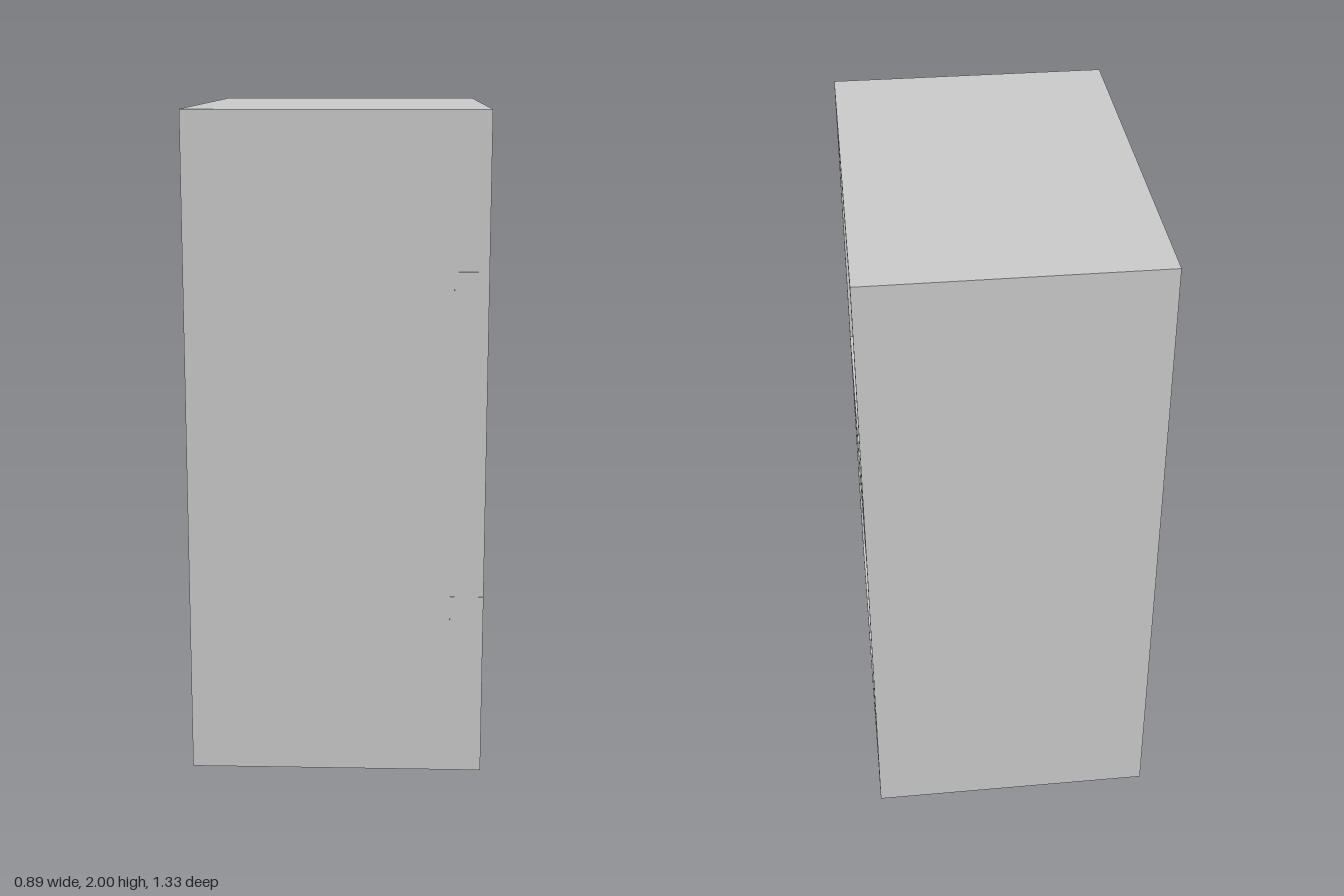
import * as THREE from 'three';

const W = 0.886, H = 2, D = 1.33;      // outer size
const WALL = 0.0625;                   // recess of the compartment backs
const CELL = { h: 0.9, d: 1.206, y: [0.512, 1.49] };

const material = new THREE.MeshStandardMaterial({ color: 0xcccccc, side: THREE.DoubleSide });

// Box of thin sheets without the listed faces (0 = +x, 1 = -x)
function openBox(w, h, d, removed) {
  const geometry = new THREE.BoxGeometry(w, h, d);
  const index = Array.from(geometry.index.array);
  geometry.setIndex(index.filter((_, i) => !removed.includes(Math.floor(i / 6))));
  geometry.clearGroups();
  return geometry;
}

function rect(target, w, h, cy) {
  target.moveTo(-w / 2, cy - h / 2);
  target.lineTo(w / 2, cy - h / 2);
  target.lineTo(w / 2, cy + h / 2);
  target.lineTo(-w / 2, cy + h / 2);
  target.closePath();
  return target;
}

export function createModel() {
  const group = new THREE.Group();
  function add(name, geometry, x, y, z) {
    const mesh = new THREE.Mesh(geometry, material);
    mesh.name = name;
    mesh.position.set(x, y, z);
    group.add(mesh);
  }

  // Outer case: top, bottom and two sides, open at the rear of the compartments
  add('outerCase', openBox(W, H, D, [0, 1]), 0, H / 2, 0);

  // Face frame around the two openings
  const frame = rect(new THREE.Shape(), D, H, H / 2);
  for (const y of CELL.y) frame.holes.push(rect(new THREE.Path(), CELL.d, CELL.h, y));
  add('faceFrame', new THREE.ShapeGeometry(frame).rotateY(Math.PI / 2), W / 2, 0, 0);

  // Compartments with recessed back panels
  CELL.y.forEach((y, i) => {
    add(i ? 'upperCompartment' : 'lowerCompartment',
      openBox(W - WALL, CELL.h, CELL.d, [0]), WALL / 2, y, 0);
  });

  // Thin plates almost flush with the side
  for (const y of [0.51, 1.49]) {
    add('hingePlate', new THREE.BoxGeometry(0.1, 0.1, 0.004), W / 2 - 0.05, y, D / 2);
  }
  return group;
}
